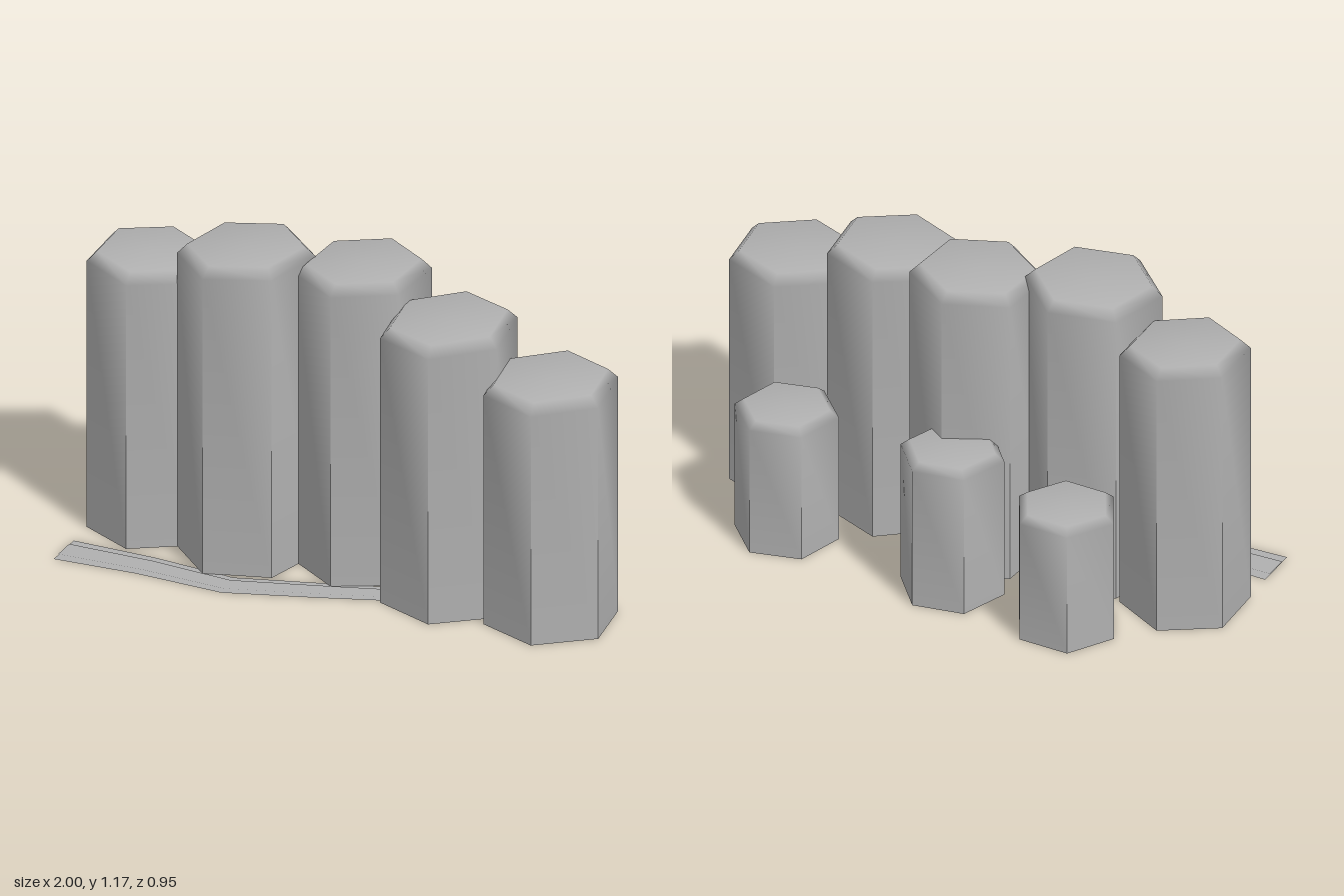
import * as THREE from 'three';

// Hexagonal stone column: crisp at the foot, softened round a tilted, bevelled top
function columnGeometry({ r, turn, h, bevel, inset, sx, sz }) {
  const pos = [], idx = [];
  const add = (x, y, z) => pos.push(x, y, z) / 3 - 1;
  const point = (i, radius) => {
    const a = turn + (i * Math.PI) / 3;
    return [radius * Math.cos(a), radius * Math.sin(a)];
  };
  const ring = (radius, height) => Array.from({ length: 6 }, (_, i) => {
    const [x, z] = point(i, radius);
    return add(x, height + sx * x + sz * z, z);
  });
  const rim = ring(r, h - bevel);
  const cap = ring(r - inset, h);
  const capCentre = add(0, h, 0);
  const baseCentre = add(0, 0, 0);
  const base = Array.from({ length: 6 }, (_, i) => {
    const [x, z] = point(i, r);
    return add(x, 0, z);
  });
  for (let i = 0; i < 6; i++) {
    const j = (i + 1) % 6;
    // each wall has its own foot corners
    const [x0, z0] = point(i, r), [x1, z1] = point(j, r);
    const b0 = add(x0, 0, z0), b1 = add(x1, 0, z1);
    idx.push(b0, rim[i], rim[j], b0, rim[j], b1);
    idx.push(rim[i], cap[i], cap[j], rim[i], cap[j], rim[j]);
    idx.push(capCentre, cap[j], cap[i]);
    idx.push(baseCentre, base[i], base[j]);
  }
  return finish(pos, idx);
}

// Flat strip along a line of [x, z, width] stations
function stripGeometry(stations, y, widthScale) {
  const pos = [], idx = [];
  stations.forEach(([x, z, w], i) => {
    const a = stations[Math.max(i - 1, 0)];
    const b = stations[Math.min(i + 1, stations.length - 1)];
    const dx = b[0] - a[0], dz = b[1] - a[1];
    const k = (w * widthScale) / 2 / Math.hypot(dx, dz);
    pos.push(x + dz * k, y, z - dx * k, x - dz * k, y, z + dx * k);
    if (i > 0) {
      const n = i * 2;
      idx.push(n - 2, n - 1, n, n, n - 1, n + 1);
    }
  });
  return finish(pos, idx);
}

function finish(pos, idx) {
  const g = new THREE.BufferGeometry();
  g.setAttribute('position', new THREE.Float32BufferAttribute(pos, 3));
  g.setIndex(idx);
  g.computeVertexNormals();
  return g;
}

export function createModel() {
  const group = new THREE.Group();
  const stone = new THREE.MeshStandardMaterial({ color: 0xb0b0b0, side: THREE.DoubleSide });
  stone.name = 'grey stone';

  // x, z, radius, corner direction (dx, dz), height, tilt along x and z
  const tall = [
    [-0.79, 0.05, 0.226, 4.5, 42, 1.04, -0.04, -0.02],
    [-0.4, 0.083, 0.241, -7.5, 44.5, 1.158, 0.04, -0.02],
    [-0.005, -0.037, 0.235, 0, 44, 1.137, 0.03, -0.03],
    [0.388, 0.067, 0.243, 9.5, 44.5, 1.052, 0.03, -0.06],
    [0.78, 0.05, 0.238, 9.5, 43.5, 0.913, 0.01, -0.05],
  ];
  const short = [
    [-0.53, -0.305, 0.187, 35, -1.5, 0.49, 0, -0.02],
    [-0.064, -0.297, 0.187, 34, -8.5, 0.565, 0, -0.01],
    [0.604, -0.3, 0.185, 33, -10.5, 0.517, 0, -0.01],
  ];
  const addColumns = (list, name, bevel, inset) => list.forEach(([x, z, r, dx, dz, h, sx, sz], i) => {
    const turn = Math.atan2(dz, dx);
    const mesh = new THREE.Mesh(columnGeometry({ r, turn, h, bevel, inset, sx, sz }), stone);
    mesh.position.set(x, 0, z);
    mesh.name = name + (i + 1);
    group.add(mesh);
  });
  addColumns(tall, 'tallColumn', 0.036, 0.036);
  addColumns(short, 'shortColumn', 0.026, 0.032);

  // Narrowing path that winds between the columns
  const path = [
    [-0.95, 0.385, 0.165], [-0.64, 0.36, 0.145], [-0.32, 0.362, 0.13], [-0.02, 0.245, 0.12],
    [0.2, 0.155, 0.11], [0.39, 0.08, 0.1], [0.58, -0.04, 0.085], [0.78, -0.21, 0.075],
  ];
  [['pathEdge', 0, 1], ['pathCentre', 0.003, 0.55]].forEach(([name, y, scale]) => {
    const mesh = new THREE.Mesh(stripGeometry(path, y, scale), stone);
    mesh.name = name;
    group.add(mesh);
  });
  return group;
}
